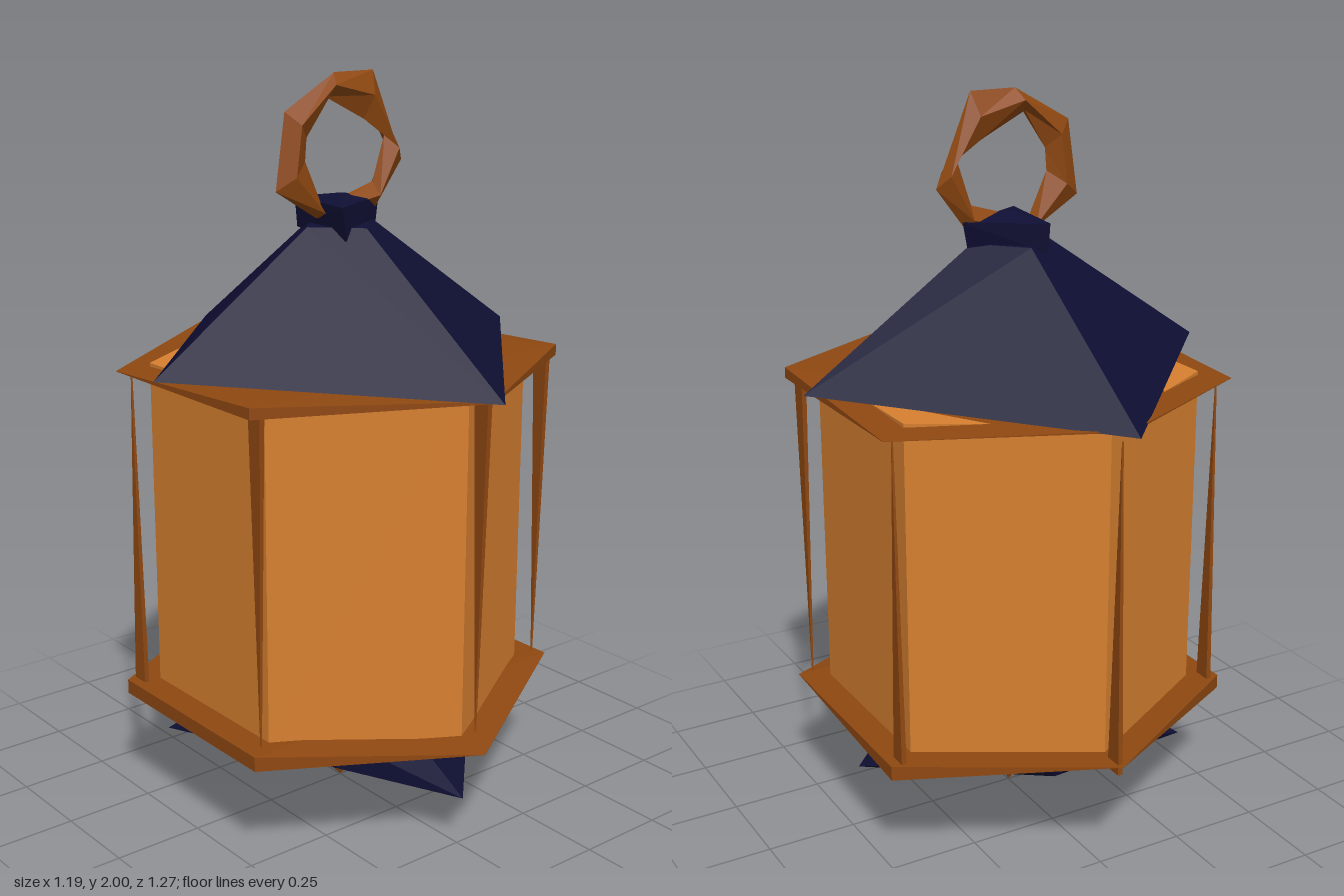
import * as THREE from 'three';
import { ConvexGeometry } from 'three/addons/geometries/ConvexGeometry.js';

export function createModel() {
  const model = new THREE.Group();
  const paint = (name, color) => {
    const m = new THREE.MeshStandardMaterial({ color, flatShading: true });
    m.name = name;
    return m;
  };
  const navy = paint('navy', 0x0f0f34);
  const copper = paint('copper', 0x8f4811);
  const amber = paint('amber', 0xd78030);

  const add = (name, geometry, material) => {
    const mesh = new THREE.Mesh(geometry, material);
    mesh.name = name;
    model.add(mesh);
    return mesh;
  };
  const hull = (points) => new ConvexGeometry(points.map((p) => new THREE.Vector3(...p)));
  const fromTriangles = (triangles) => {
    const g = new THREE.BufferGeometry();
    g.setAttribute('position', new THREE.Float32BufferAttribute(triangles.flat(2), 3));
    g.computeVertexNormals();
    return g;
  };

  // Six-sided glass body, a corner facing the front
  const glass = add('glassBody', new THREE.CylinderGeometry(0.51, 0.51, 0.93, 6), amber);
  glass.position.y = 0.785;

  // Hexagonal plate with uneven corner heights, listed from the front corner towards +x
  function plate(lower, upper, lowerEar, upperEar) {
    const corner = (heights, i) => {
      const a = ((i % 6) * Math.PI) / 3;
      return [0.6 * Math.sin(a), heights[i % 6], 0.6 * Math.cos(a)];
    };
    const triangles = [];
    const cover = (heights, ear, flip) => {
      const at = (i) => corner(heights, i);
      const faces = [[at(ear + 1), at(ear + 3), at(ear + 5)]];
      for (let i = ear; i < ear + 6; i += 2) faces.push([at(i + 5), at(i), at(i + 1)]);
      for (const f of faces) triangles.push(flip ? f.reverse() : f);
    };
    cover(lower, lowerEar, true);
    cover(upper, upperEar, false);
    for (let i = 0; i < 6; i++) {
      const a = corner(lower, i), b = corner(lower, i + 1);
      const c = corner(upper, i + 1), d = corner(upper, i);
      triangles.push([a, b, c], [a, c, d]);
    }
    return fromTriangles(triangles);
  }
  add('bottomPlate', plate(
    [0.3, 0.34, 0.3, 0.339, 0.3, 0.3],
    [0.301, 0.341, 0.34, 0.34, 0.34, 0.34], 1, 0), copper);
  add('topPlate', plate(
    [1.245, 1.23, 1.23, 1.255, 1.23, 1.23],
    [1.25, 1.26, 1.231, 1.26, 1.231, 1.26], 0, 0), copper);

  // Tapered corner posts: front ones point down, rear ones point up
  for (let i = 0; i < 6; i++) {
    const a = (i * Math.PI) / 3;
    const x = 0.56 * Math.sin(a), z = 0.56 * Math.cos(a);
    const [wide, tip] = z > 0 ? [1.25, 0.35] : [0.31, 1.22];
    add('cornerPost', hull([
      [x - 0.007, wide, z - 0.025], [x + 0.007, wide, z - 0.025],
      [x + 0.007, wide, z + 0.025], [x - 0.007, wide, z + 0.025],
      [x - 0.002, tip, z], [x + 0.002, tip, z + 0.002],
    ]), copper);
  }

  // Four-sided roof
  add('roof', hull([
    [0.595, 1.275, 0], [-0.595, 1.275, 0], [0, 1.25, 0.637], [0, 1.25, -0.637],
    [0.11, 1.61, 0], [-0.11, 1.61, 0], [0, 1.61, 0.11], [0, 1.61, -0.12],
  ]), navy);

  // Rough three-sided cap under the ring
  add('roofCap', hull([
    [-0.05, 1.67, -0.13], [0.14, 1.67, -0.01], [-0.08, 1.67, 0.11], [0, 1.69, 0],
    [-0.05, 1.59, -0.12], [0.12, 1.59, 0], [-0.06, 1.58, 0.1],
  ]), navy);

  // Irregular hanging ring with a diamond section
  const outer = [[0.21, 1.76], [0.11, 2], [-0.02, 2], [-0.18, 1.91], [-0.21, 1.71], [-0.08, 1.63], [0.12, 1.64]];
  const inner = [[0.15, 1.83], [0.08, 1.875], [-0.05, 1.94], [-0.11, 1.84], [-0.115, 1.78], [-0.06, 1.66], [0.11, 1.71]];
  const sections = outer.map(([ox, oy], i) => {
    const [ix, iy] = inner[i];
    const mx = (ox + ix) / 2, my = (oy + iy) / 2;
    return [[ox, oy, 0], [mx, my, 0.028], [ix, iy, 0], [mx, my, -0.028]];
  });
  const ringFaces = [];
  sections.forEach((s, i) => {
    const t = sections[(i + 1) % sections.length];
    for (let k = 0; k < 4; k++) {
      const n = (k + 1) % 4;
      ringFaces.push([s[k], t[k], t[n]], [s[k], t[n], s[n]]);
    }
  });
  add('hangingRing', fromTriangles(ringFaces), copper);

  // Faceted base floating under the body
  add('base', hull([
    [-0.41, 0.17, -0.27], [0, 0.14, 0.52], [0.45, 0.14, 0.06], [0, 0.14, -0.26],
    [0.1, 0.27, -0.31], [0.33, 0.23, -0.17], [-0.21, 0.27, 0.1], [0.02, 0.27, 0.23],
  ]), navy);

  // Small pointed finial
  add('finial', hull([
    [0, 0, 0], [-0.065, 0.08, -0.02], [0.02, 0.14, -0.03], [0.03, 0.07, -0.03], [0.01, 0.08, 0.07],
  ]), copper);

  return model;
}
